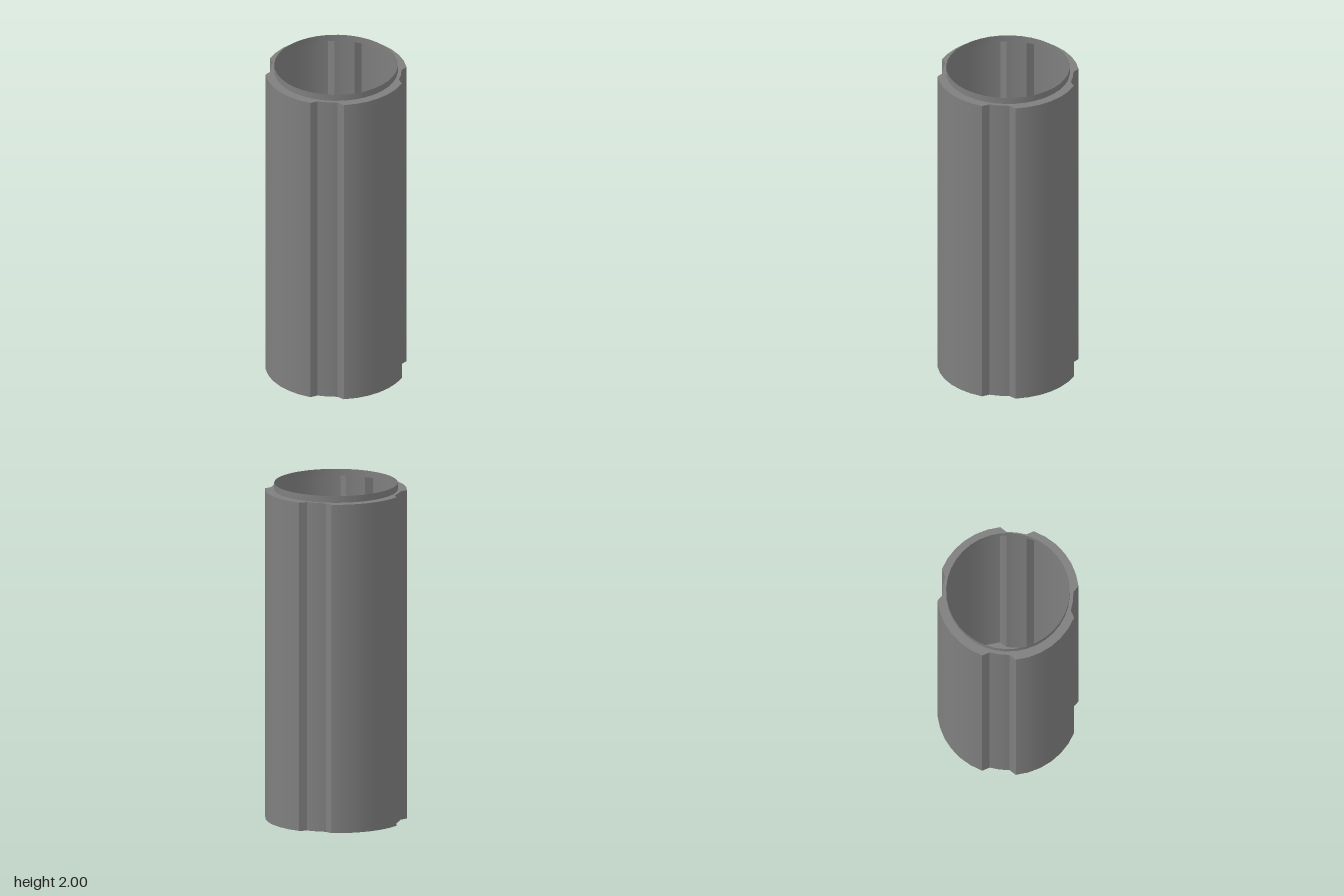
import * as THREE from 'three';

const BODY_H = 1.96, FULL_H = 2;
const R_OUTER = 0.413, R_GROOVE = 0.381, R_INNER = 0.36;
const RIB = THREE.MathUtils.degToRad(31.2);    // half angle of each raised panel
const FLOOR = THREE.MathUtils.degToRad(36.2);  // angle where the groove floor begins
const QUARTER = Math.PI / 2;

// Point at a radius and an angle measured from +z towards +x
const polar = (r, a) => [r * Math.sin(a), r * Math.cos(a)];

// Open curved wall spanning part of a turn
function arcWall(r, h, start, end, segments) {
  return new THREE.CylinderGeometry(r, r, h, segments, 1, true, start, end - start).translate(0, h / 2, 0);
}

// Flat upright strip between two plan points
function strip([ax, az], [bx, bz], h) {
  const g = new THREE.BufferGeometry();
  g.setAttribute('position', new THREE.Float32BufferAttribute(
    [ax, 0, az, bx, 0, bz, bx, h, bz, ax, h, az], 3));
  g.setIndex([0, 1, 2, 0, 2, 3]);
  g.computeVertexNormals();
  return g;
}

// Notched ring that closes the shell at each end
function ringShape() {
  const pts = [];
  for (let q = 0; q < 4; q++) {
    for (let i = -3; i <= 3; i++) pts.push(polar(R_OUTER, q * QUARTER + RIB * i / 3));
    for (const a of [FLOOR, QUARTER / 2, QUARTER - FLOOR]) pts.push(polar(R_GROOVE, q * QUARTER + a));
  }
  const shape = new THREE.Shape(pts.map(([x, y]) => new THREE.Vector2(x, y)));
  const hole = [];
  for (let i = 0; i < 36; i++) hole.push(new THREE.Vector2(...polar(R_INNER, i * Math.PI / 18)));
  shape.holes.push(new THREE.Path(hole));
  return shape;
}

export function createModel() {
  const group = new THREE.Group();
  const grey = new THREE.MeshStandardMaterial({ color: 0x7f7f7f, side: THREE.DoubleSide });
  grey.name = 'grey';
  const add = (name, geometry) => {
    const mesh = new THREE.Mesh(geometry, grey);
    mesh.name = name;
    group.add(mesh);
    return mesh;
  };

  // Four raised panels separated by four lengthwise grooves
  for (let q = 0; q < 4; q++) {
    const a = q * QUARTER;
    add('raisedPanel', arcWall(R_OUTER, BODY_H, a - RIB, a + RIB, 6));
    add('grooveFloor', arcWall(R_GROOVE, BODY_H, a + FLOOR, a + QUARTER - FLOOR, 2));
    add('grooveSide', strip(polar(R_OUTER, a + RIB), polar(R_GROOVE, a + FLOOR), BODY_H));
    add('grooveSide', strip(polar(R_GROOVE, a + QUARTER - FLOOR), polar(R_OUTER, a + QUARTER - RIB), BODY_H));
  }

  // End rings
  add('topRing', new THREE.ShapeGeometry(ringShape()).rotateX(-Math.PI / 2).translate(0, BODY_H, 0));
  add('bottomRing', new THREE.ShapeGeometry(ringShape()).rotateX(Math.PI / 2));

  // Thin collar standing above the top ring
  const lip = new THREE.CylinderGeometry(R_INNER, R_INNER, FULL_H - BODY_H, 36, 1, true);
  add('topCollar', lip).position.y = (FULL_H + BODY_H) / 2;

  return group;
}
